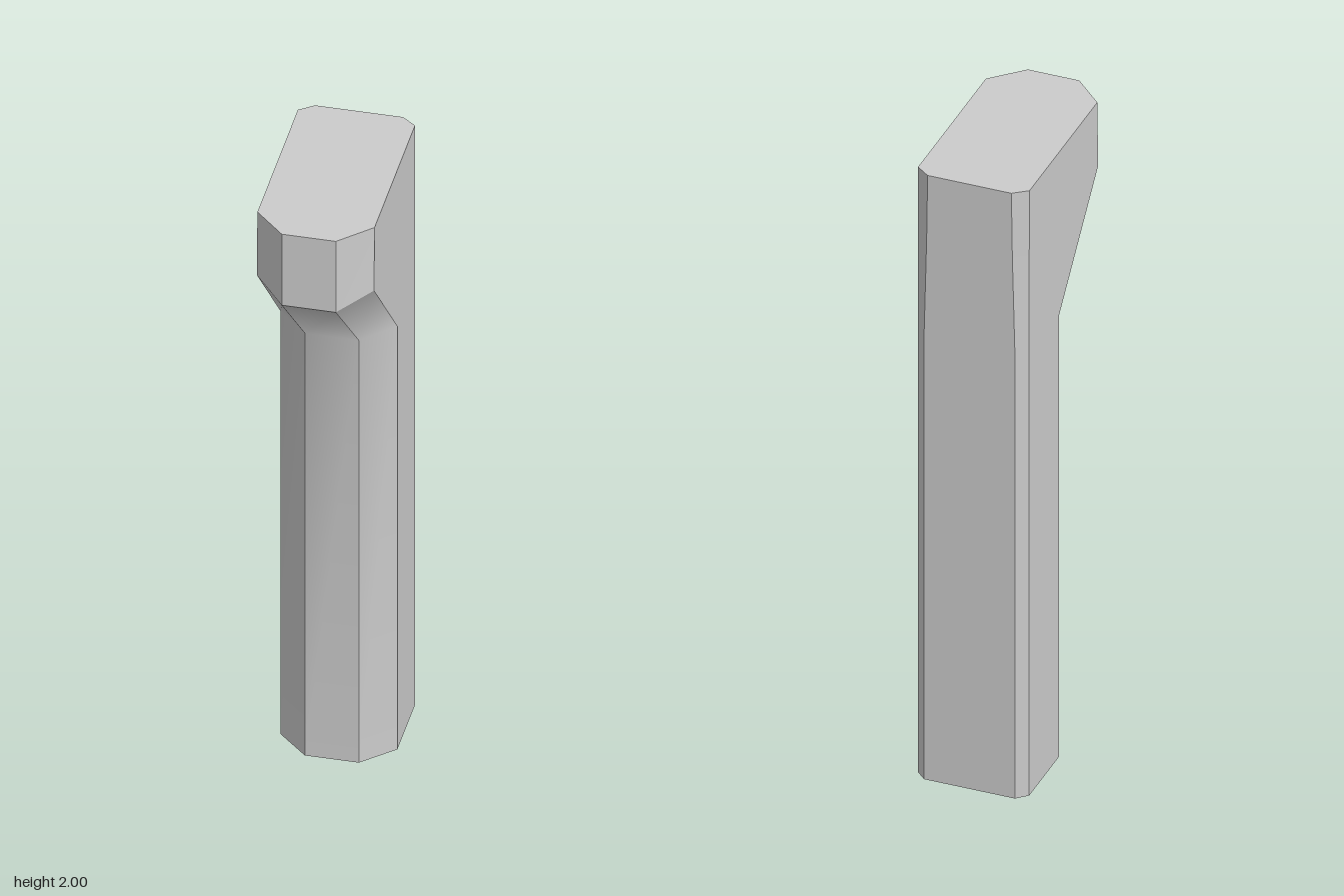
import * as THREE from 'three';

const material = new THREE.MeshStandardMaterial({ color: 0xcccccc });

// Half outline of each lengthwise edge: [x, y, z] from foot to top
const frontEdge = [[0.078, 0, 0.025], [0.078, 1.457, 0.025], [0.078, 1.755, 0.315], [0.078, 2, 0.315]];
const sideFrontEdge = [[0.169, 0, -0.062], [0.169, 1.46, -0.062], [0.169, 1.787, 0.232], [0.169, 2, 0.225]];
const sideBackEdge = [[0.169, 0, -0.285], [0.169, 1.46, -0.285], [0.169, 1.787, -0.285], [0.169, 2, -0.283]];
const backEdge = [[0.138, 0, -0.315], [0.138, 1.46, -0.315], [0.13, 1.787, -0.315], [0.127, 2, -0.315]];

const mirror = (edge) => edge.map(([x, y, z]) => [-x, y, z]);

// Eight edges, anticlockwise seen from above
const half = [frontEdge, sideFrontEdge, sideBackEdge, backEdge];
const edges = [...half, ...half.map(mirror).reverse()];

function makeMesh(name, points, index) {
  const geometry = new THREE.BufferGeometry();
  geometry.setAttribute('position', new THREE.Float32BufferAttribute(points.flat(), 3));
  geometry.setIndex(index);
  geometry.computeVertexNormals();
  const mesh = new THREE.Mesh(geometry, material);
  mesh.name = name;
  return mesh;
}

// Facets between neighbouring edges: smooth along the length, sharp between facets
function facets(name, from, to) {
  const points = [], index = [];
  edges.forEach((edge, i) => {
    const next = edges[(i + 1) % edges.length];
    for (let r = from; r <= to; r++) {
      const a = points.length;
      points.push(edge[r], next[r]);
      if (r < to) index.push(a, a + 1, a + 3, a, a + 3, a + 2);
    }
  });
  return makeMesh(name, points, index);
}

// Flat octagonal end
function cap(name, row, up) {
  const index = [];
  for (let i = 1; i < edges.length - 1; i++) index.push(0, up ? i : i + 1, up ? i + 1 : i);
  return makeMesh(name, edges.map((edge) => edge[row]), index);
}

export function createModel() {
  const model = new THREE.Group();
  model.name = 'bracketPost';
  model.add(
    facets('shaftAndFlare', 0, 2),
    facets('head', 2, 3),
    cap('topFace', 3, true),
    cap('bottomFace', 0, false)
  );
  return model;
}
